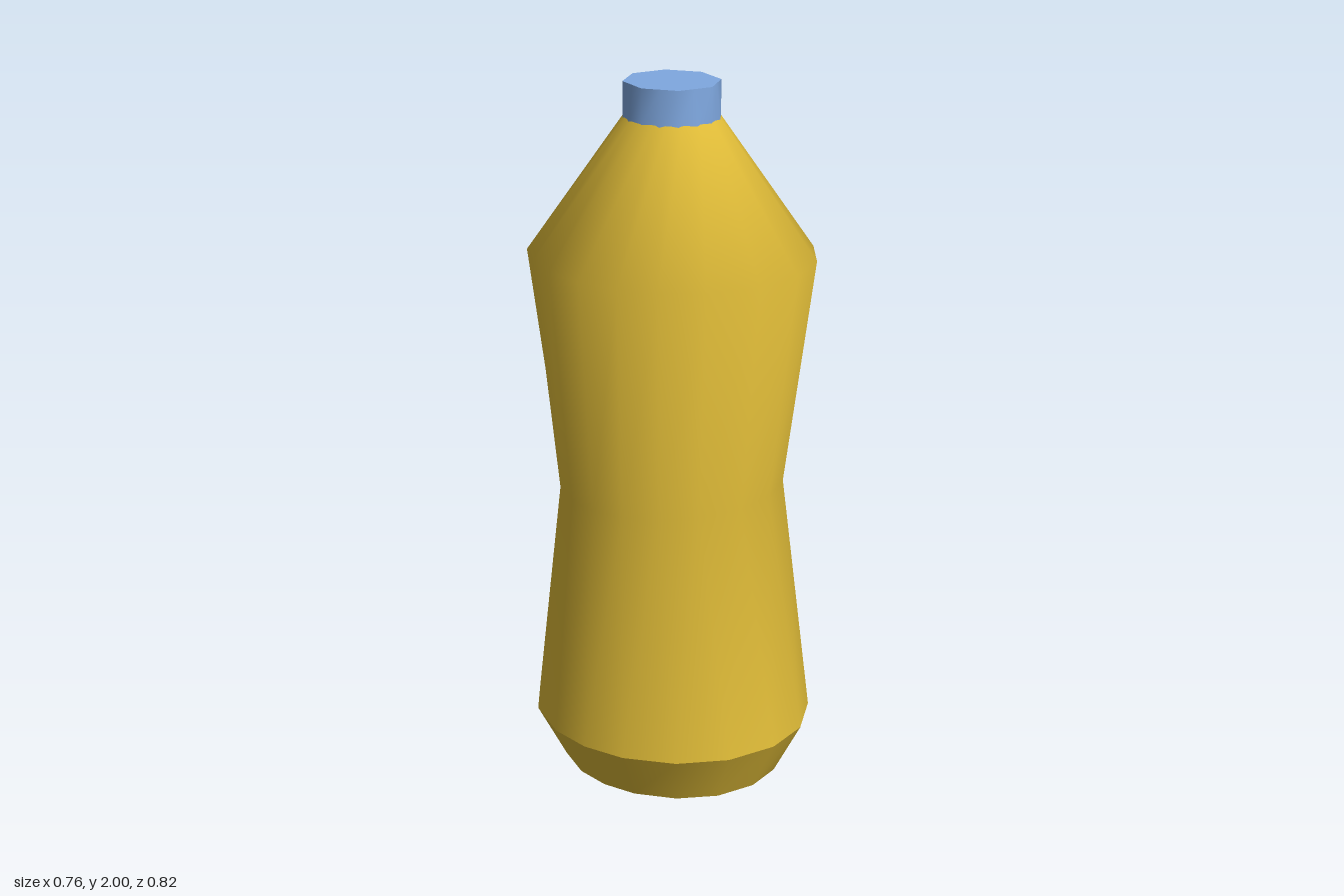
import * as THREE from 'three';

const rad = THREE.MathUtils.degToRad;

// Slightly uneven facet angles of the shoulder, and their mirror image for the base
const upper = [5.6, 27.8, 50, 72, 90, 108, 130, 152, 174.5, 196, 219, 237, 253, 270, 287, 303, 321, 344];
const lower = upper.map(a => 360 - a).reverse();
const middle = upper.map((a, i) => (a + lower[i]) / 2);

// Elliptical ring of points at height y, angles measured from the back
function ring(y, rx, rz, angles) {
  return angles.map(a => new THREE.Vector3(rx * Math.sin(rad(a)), y, -rz * Math.cos(rad(a))));
}

// Smooth skin through rings listed from bottom to top
function loft(rings) {
  const n = rings[0].length, index = [];
  for (let r = 0; r < rings.length - 1; r++) {
    for (let i = 0; i < n; i++) {
      const j = (i + 1) % n, lo = r * n, hi = lo + n;
      index.push(lo + j, lo + i, hi + i, lo + j, hi + i, hi + j);
    }
  }
  const geo = new THREE.BufferGeometry().setFromPoints(rings.flat());
  geo.setIndex(index);
  geo.computeVertexNormals();
  return geo;
}

// Flat lid over a ring, facing up or down
function disc(points, up) {
  const n = points.length, index = [];
  const centre = new THREE.Vector3(0, points[0].y, 0);
  for (let i = 0; i < n; i++) {
    const j = (i + 1) % n;
    index.push(n, up ? j : i, up ? i : j);
  }
  const geo = new THREE.BufferGeometry().setFromPoints([...points, centre]);
  geo.setIndex(index);
  geo.computeVertexNormals();
  return geo;
}

export function createModel() {
  const model = new THREE.Group();
  model.name = 'bottle';
  const yellow = new THREE.MeshStandardMaterial({ color: 0xe0bc38 });
  const blue = new THREE.MeshStandardMaterial({ color: 0x7fa8e0 });
  const add = (name, geometry, material, parent) => {
    const mesh = new THREE.Mesh(geometry, material);
    mesh.name = name;
    parent.add(mesh);
  };

  // Pinched body with sloping shoulder
  const rim = ring(0.155, 0.382, 0.41, lower);
  add('body', loft([
    rim,
    ring(0.86, 0.333, 0.306, middle),
    ring(1.525, 0.382, 0.41, upper),
    ring(1.905, 0.128, 0.135, upper),
  ]), yellow, model);

  // Tapered foot and flat underside
  const foot = ring(0, 0.3, 0.33, lower);
  add('foot', loft([foot, rim]), yellow, model);
  add('underside', disc(foot, false), yellow, model);

  // Cap: sixteen sides below, eight on top (odd points lie on the chords)
  const cap = new THREE.Group();
  cap.name = 'cap';
  model.add(cap);
  const angles = Array.from({ length: 16 }, (_, i) => i * 22.5 - 2);
  const capBase = ring(1.9, 0.13, 0.136, angles);
  const capTop = ring(2, 0.13, 0.136, angles);
  for (let i = 1; i < 16; i += 2) capTop[i].lerpVectors(capTop[i - 1], capTop[(i + 1) % 16], 0.5);
  add('capSide', loft([capBase, capTop]), blue, cap);
  add('capTop', disc(capTop, true), blue, cap);
  add('capUnderside', disc(capBase, false), blue, cap);

  return model;
}
